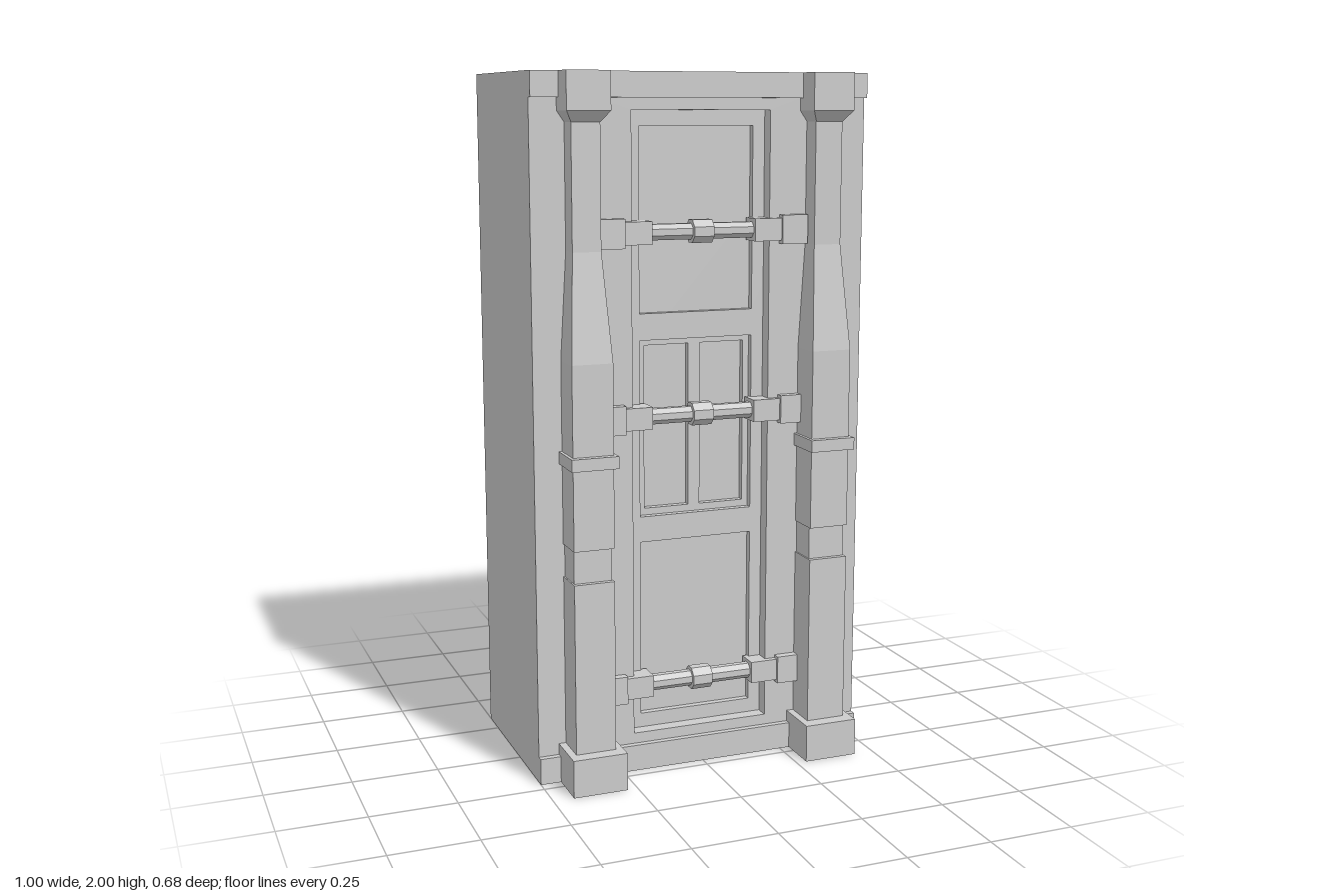
import * as THREE from 'three';

const material = new THREE.MeshStandardMaterial({ color: 0xcccccc, flatShading: true });

function add(parent, name, geometry) {
  const mesh = new THREE.Mesh(geometry, material);
  mesh.name = name;
  parent.add(mesh);
  return mesh;
}

// Box given by its limits on each axis
function box(parent, name, x0, x1, y0, y1, z0, z1) {
  const g = new THREE.BoxGeometry(x1 - x0, y1 - y0, z1 - z0);
  g.translate((x0 + x1) / 2, (y0 + y1) / 2, (z0 + z1) / 2);
  return add(parent, name, g);
}

function rect(path, x0, x1, y0, y1) {
  path.moveTo(x0, y0);
  path.lineTo(x1, y0);
  path.lineTo(x1, y1);
  path.lineTo(x0, y1);
  path.closePath();
  return path;
}

// Full-size slab pierced by rectangular openings
function layer(parent, name, z0, z1, openings) {
  const shape = rect(new THREE.Shape(), -0.5, 0.5, 0, 2);
  for (const o of openings) shape.holes.push(rect(new THREE.Path(), ...o));
  const g = new THREE.ExtrudeGeometry(shape, { depth: z1 - z0, bevelEnabled: false });
  g.translate(0, 0, z0);
  add(parent, name, g);
}

// Column piece with a flat back, tapering from bottom to top
function columnPiece(parent, name, y0, y1, half0, front0, half1 = half0, front1 = front0) {
  const back = 0.18;
  const g = new THREE.BoxGeometry(2, 1, 1);
  const p = g.attributes.position;
  for (let i = 0; i < p.count; i++) {
    const top = p.getY(i) > 0;
    p.setXYZ(i,
      p.getX(i) * (top ? half1 : half0),
      top ? y1 : y0,
      p.getZ(i) > 0 ? (top ? front1 : front0) : back);
  }
  g.computeVertexNormals();
  add(parent, name, g);
}

function column(side) {
  const c = new THREE.Group();
  c.name = side > 0 ? 'leftColumn' : 'rightColumn';
  c.position.x = side * 0.36;
  columnPiece(c, 'base', 0, 0.11, 0.08, 0.34);
  columnPiece(c, 'lowerShaft', 0.11, 0.605, 0.059, 0.30);
  columnPiece(c, 'neck', 0.605, 0.70, 0.055, 0.285);
  columnPiece(c, 'middleShaft', 0.70, 1.22, 0.059, 0.30);
  columnPiece(c, 'ring', 0.93, 0.965, 0.068, 0.32);
  columnPiece(c, 'taper', 1.22, 1.52, 0.059, 0.30, 0.041, 0.26);
  columnPiece(c, 'upperShaft', 1.52, 1.865, 0.041, 0.26);
  columnPiece(c, 'capitalChamfer', 1.865, 1.895, 0.041, 0.262, 0.062, 0.29);
  columnPiece(c, 'capital', 1.895, 2, 0.062, 0.29);
  return c;
}

// Eight-sided rod lying along x, with flats facing front and up
function rod(parent, name, radius, length, y, z) {
  const g = new THREE.CylinderGeometry(radius, radius, length, 8);
  g.rotateY(Math.PI / 8);
  g.rotateZ(Math.PI / 2);
  g.translate(0, y, z);
  add(parent, name, g);
}

// Horizontal locking bar with its brackets
function lockBar(y) {
  const b = new THREE.Group();
  b.name = 'lockBar';
  rod(b, 'bar', 0.024, 0.34, y, 0.183);
  rod(b, 'knob', 0.035, 0.06, y, 0.185);
  for (const s of [-1, 1]) {
    const sides = (a, c) => (s > 0 ? [a, c] : [-c, -a]);
    box(b, 'clamp', ...sides(0.155, 0.237), y - 0.032, y + 0.032, 0.15, 0.217);
    box(b, 'bracket', ...sides(0.237, 0.315), y - 0.041, y + 0.041, 0.16, 0.225);
  }
  return b;
}

export function createModel() {
  const model = new THREE.Group();
  model.name = 'doorBlock';

  // Solid block, then stepped layers forming the recessed door
  box(model, 'body', -0.5, 0.5, 0, 2, -0.34, 0.12);
  layer(model, 'windowSash', 0.12, 0.14, [
    [-0.154, -0.019, 0.765, 1.24],
    [0.017, 0.152, 0.765, 1.24],
  ]);
  layer(model, 'door', 0.14, 0.16, [
    [-0.174, 0.17, 0.15, 0.67],
    [-0.174, 0.17, 0.745, 1.257],
    [-0.174, 0.17, 1.333, 1.853],
  ]);
  layer(model, 'doorFrame', 0.16, 0.2, [[-0.21, 0.206, 0.108, 1.897]]);

  // Rails across the top and bottom
  box(model, 'topRail', -0.5, 0.5, 1.93, 2, 0.2, 0.218);
  box(model, 'bottomRail', -0.5, 0.5, 0, 0.077, 0.2, 0.218);

  model.add(column(1), column(-1));
  for (const y of [0.251, 1.043, 1.563]) model.add(lockBar(y));
  return model;
}
